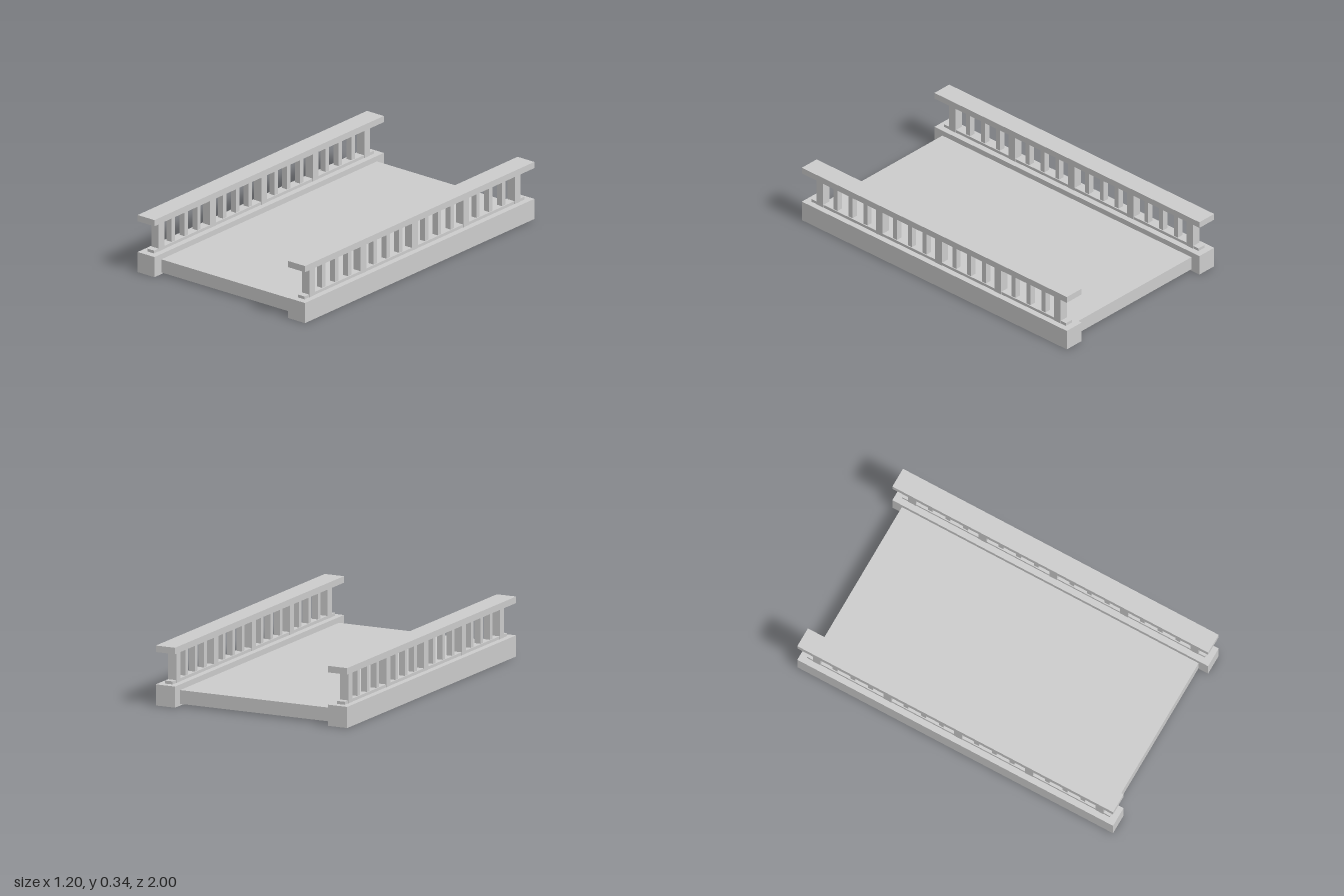
import * as THREE from 'three';

const material = new THREE.MeshStandardMaterial({
  color: 0xcccccc, flatShading: true, side: THREE.DoubleSide,
});

// Box given by its extents, hollow underneath (no bottom face)
function openBox(name, x0, x1, y0, y1, z0, z1) {
  const geometry = new THREE.BoxGeometry(x1 - x0, y1 - y0, z1 - z0);
  const index = Array.from(geometry.index.array);
  index.splice(18, 6); // the bottom is the fourth face
  geometry.setIndex(index);
  geometry.clearGroups();
  geometry.translate((x0 + x1) / 2, (y0 + y1) / 2, (z0 + z1) / 2);
  const mesh = new THREE.Mesh(geometry, material);
  mesh.name = name;
  return mesh;
}

// One railing, centred on the given x
function createRailing(name, x) {
  const railing = new THREE.Group();
  railing.name = name;
  const bar = (part, halfWidth, y0, y1, z, halfDepth) => railing.add(
    openBox(part, x - halfWidth, x + halfWidth, y0, y1, z - halfDepth, z + halfDepth));

  bar('sideBeam', 0.06, 0, 0.12, 0, 1);
  bar('baseStrip', 0.024, 0.12, 0.137, 0, 0.96);
  bar('handrail', 0.06, 0.303, 0.34, 0, 1);

  // Every fourth upright is a thick post, the others are slim balusters
  for (let i = -8; i <= 8; i++) {
    const z = i * 0.112;
    if (i % 4 === 0) bar('post', 0.026, 0.02, 0.306, z, 0.025);
    else bar('baluster', 0.018, 0.02, 0.306, z, 0.015);
  }
  return railing;
}

export function createModel() {
  const bridge = new THREE.Group();
  bridge.name = 'bridge';
  bridge.add(openBox('deck', -0.48, 0.48, 0.01, 0.088, -0.94, 0.94));
  bridge.add(createRailing('leftRailing', 0.538));
  bridge.add(createRailing('rightRailing', -0.538));
  return bridge;
}
